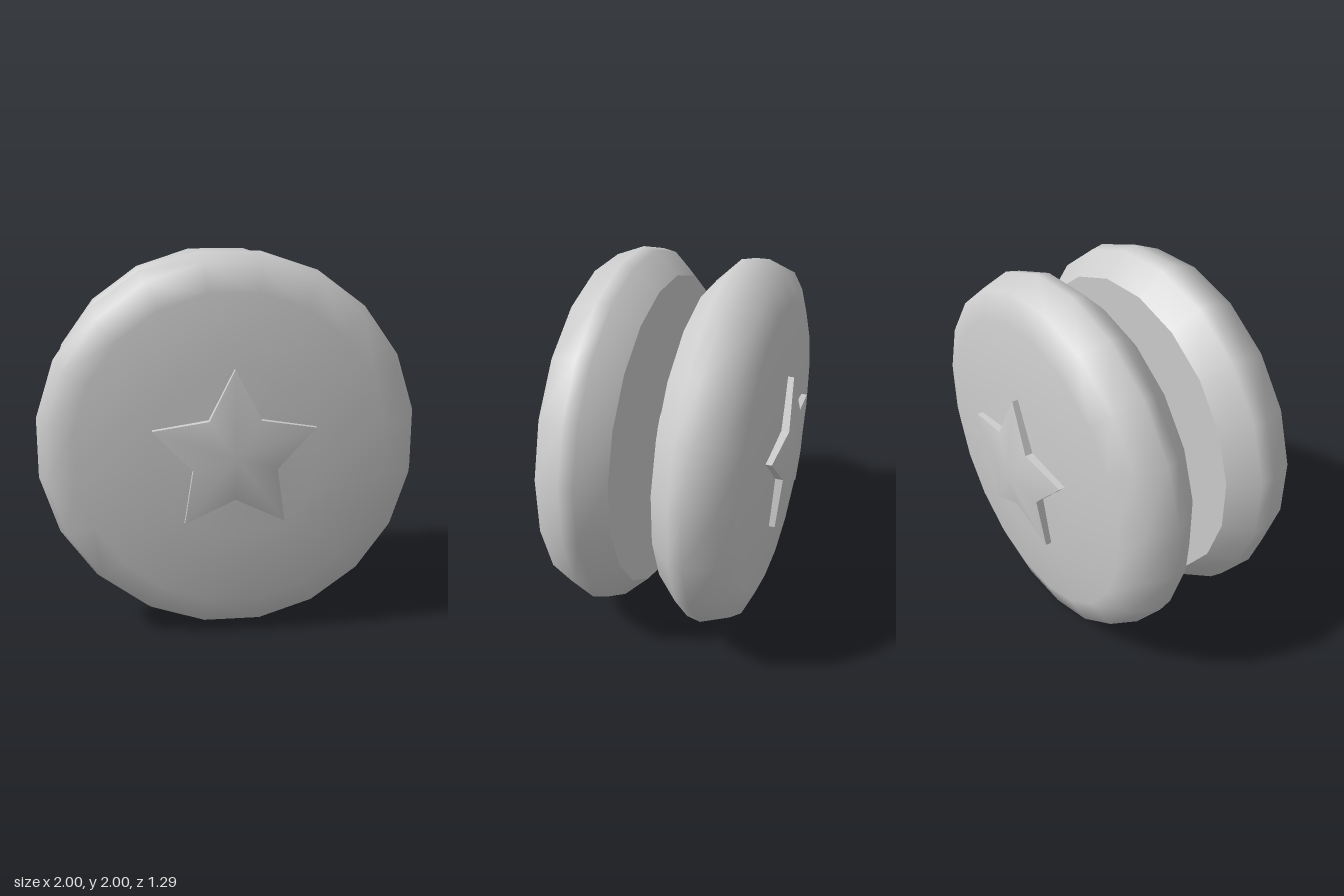
import * as THREE from 'three';

const SIDES = 20;
const pt = (r, z) => new THREE.Vector2(r, z);

// Surface of revolution around the z axis
function turned(points, sides = SIDES) {
  return new THREE.LatheGeometry(points, sides, Math.PI / SIDES).rotateX(Math.PI / 2);
}

// Five-pointed outline; tips sit slightly lower than the notches
function starOutline() {
  return Array.from({ length: 10 }, (_, i) => {
    const tip = i % 2 === 0;
    const a = Math.PI / 2 + (i * Math.PI) / 5;
    const r = tip ? 0.435 : 0.224;
    return new THREE.Vector3(r * Math.cos(a), r * Math.sin(a), tip ? 0.582 : 0.602);
  });
}

// Domed star face: a smooth fan around a raised centre
function starTopGeometry() {
  const pos = [0, 0, 0.645];
  const index = [];
  starOutline().forEach((p, i) => {
    pos.push(p.x, p.y, p.z);
    index.push(0, 1 + i, 1 + ((i + 1) % 10));
  });
  const g = new THREE.BufferGeometry();
  g.setAttribute('position', new THREE.Float32BufferAttribute(pos, 3));
  g.setIndex(index);
  g.computeVertexNormals();
  return g;
}

// Flat star walls reaching down into the disc
function starRimGeometry() {
  const pos = [];
  const outline = starOutline();
  outline.forEach((p, i) => {
    const q = outline[(i + 1) % 10];
    const a = [p.x, p.y, 0.54], b = [q.x, q.y, 0.54];
    const c = [q.x, q.y, q.z], d = [p.x, p.y, p.z];
    pos.push(...a, ...b, ...c, ...a, ...c, ...d);
  });
  const g = new THREE.BufferGeometry();
  g.setAttribute('position', new THREE.Float32BufferAttribute(pos, 3));
  g.computeVertexNormals();
  return g;
}

export function createModel() {
  const model = new THREE.Group();
  model.name = 'yoyo';
  const grey = new THREE.MeshStandardMaterial({ color: 0xcccccc });
  grey.name = 'light grey';

  const add = (parent, name, geometry) => {
    const mesh = new THREE.Mesh(geometry, grey);
    mesh.name = name;
    parent.add(mesh);
    return mesh;
  };

  // Two mirrored halves: rounded disc, flat inner face, raised star
  const shell = turned([
    pt(0.878, 0.11), pt(0.998, 0.235), pt(1.0125, 0.31), pt(0.955, 0.46),
    pt(0.81, 0.515), pt(0.435, 0.55), pt(0, 0.57),
  ]);
  const inner = turned([pt(0, 0.11), pt(0.878, 0.11)]);
  const starTop = starTopGeometry();
  const starRim = starRimGeometry();
  for (const [name, turn] of [['frontHalf', 0], ['backHalf', Math.PI]]) {
    const half = new THREE.Group();
    half.name = name;
    add(half, 'disc', shell);
    add(half, 'innerFace', inner);
    add(half, 'starFace', starTop);
    add(half, 'starRim', starRim);
    half.rotation.y = turn;
    half.position.y = 1;
    model.add(half);
  }

  // Barrel-shaped axle
  add(model, 'axle', turned([pt(0.23, -0.12), pt(0.248, 0), pt(0.23, 0.12)])).position.y = 1;

  // String loop standing on the axle, octagonal in section
  const section = Array.from({ length: 9 }, (_, i) => {
    const a = Math.PI + Math.PI / 8 + (i * Math.PI) / 4;
    return pt(0.135 + 0.054 * Math.cos(a), 0.054 * Math.sin(a));
  });
  add(model, 'stringLoop', turned(section, 12)).position.y = 1.36;

  return model;
}
